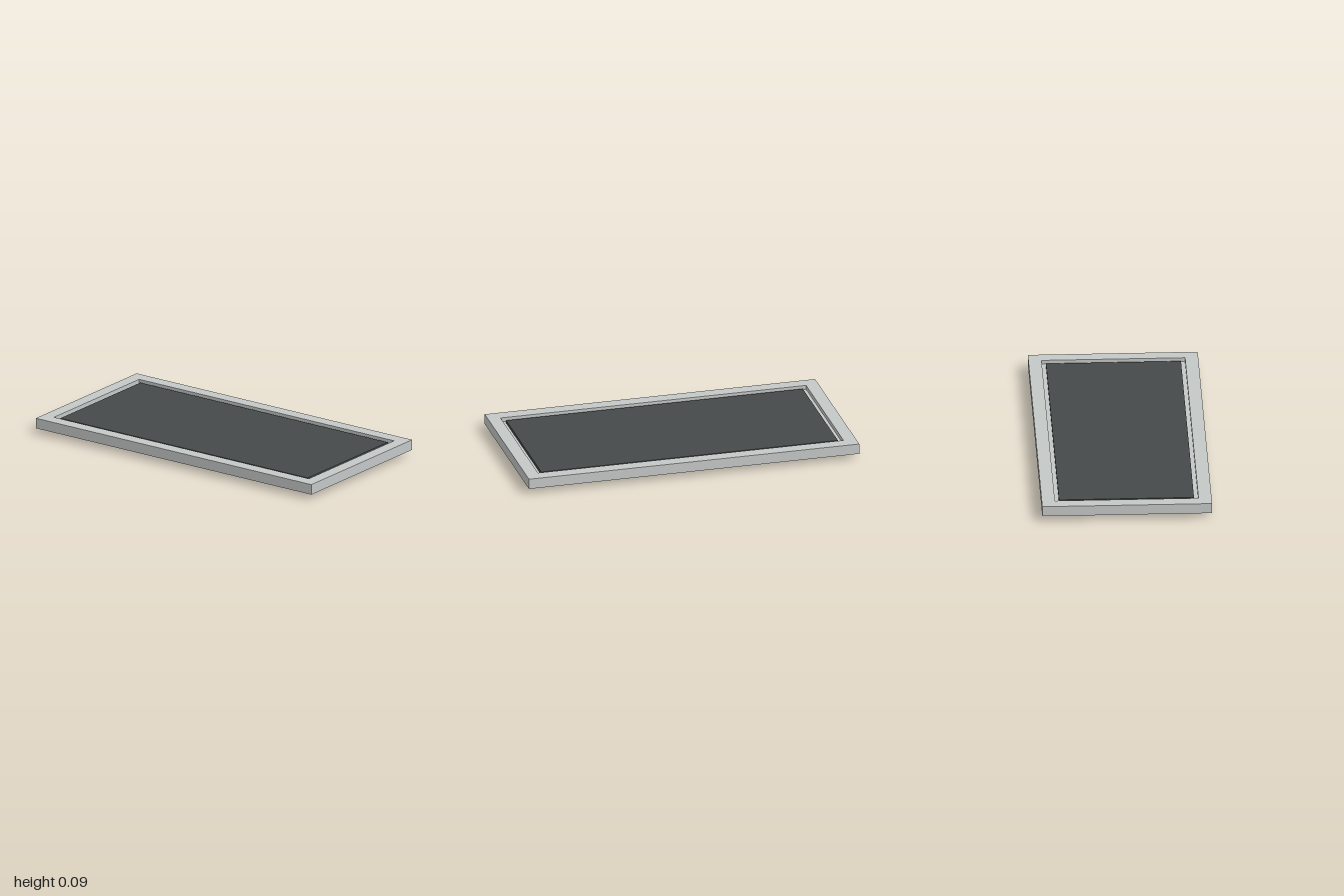
import * as THREE from 'three';

const paint = new THREE.MeshStandardMaterial({ color: 0xc4c8c7 });
paint.name = 'light grey paint';
const dark = new THREE.MeshStandardMaterial({ color: 0x45494a });
dark.name = 'dark grey panel';

const Z = 0.497; // half depth of the frame

function add(group, name, geometry, material, x = 0, y = 0, z = 0) {
  const mesh = new THREE.Mesh(geometry, material);
  mesh.name = name;
  mesh.position.set(x, y, z);
  group.add(mesh);
  return mesh;
}

function rectangle(path, hx, hz) {
  path.moveTo(-hx, -hz);
  path.lineTo(hx, -hz);
  path.lineTo(hx, hz);
  path.lineTo(-hx, hz);
  path.closePath();
  return path;
}

// Flat rectangular ring with its base at y = 0
function ring(hx, hz, innerX, innerZ, height) {
  const shape = rectangle(new THREE.Shape(), hx, hz);
  shape.holes.push(rectangle(new THREE.Path(), innerX, innerZ));
  const geometry = new THREE.ExtrudeGeometry(shape, { depth: height, bevelEnabled: false });
  return geometry.rotateX(-Math.PI / 2);
}

export function createModel() {
  const model = new THREE.Group();
  model.name = 'ventGrille';

  // Outer flange and the inner collar that projects below it
  add(model, 'outerFrame', ring(1, Z, 0.925, 0.42, 0.062), paint, 0, 0.033, 0);
  add(model, 'innerCollar', ring(0.925, 0.42, 0.873, 0.37, 0.055), paint, 0, 0.015, 0);

  // Backing panel resting on the collar
  add(model, 'backingPanel', new THREE.BoxGeometry(1.796, 0.017, 0.79), dark, 0, 0.0785, 0);

  // Tilted louvres, lower along their +z edge
  const louvres = new THREE.Group();
  louvres.name = 'louvres';
  model.add(louvres);
  const count = 10;
  const pitch = 0.74 / count;
  const tilt = 0.46;
  const slat = new THREE.BoxGeometry(1.746, 0.005, 0.08);
  for (let i = 0; i < count; i++) {
    const z = -0.37 + (i + 0.5) * pitch;
    add(louvres, 'louvre', slat, paint, 0, 0.04, z).rotation.x = tilt;
  }

  // Central support bar
  add(model, 'centreBar', new THREE.BoxGeometry(0.018, 0.05, 0.742), paint, 0, 0.025, 0);

  return model;
}
